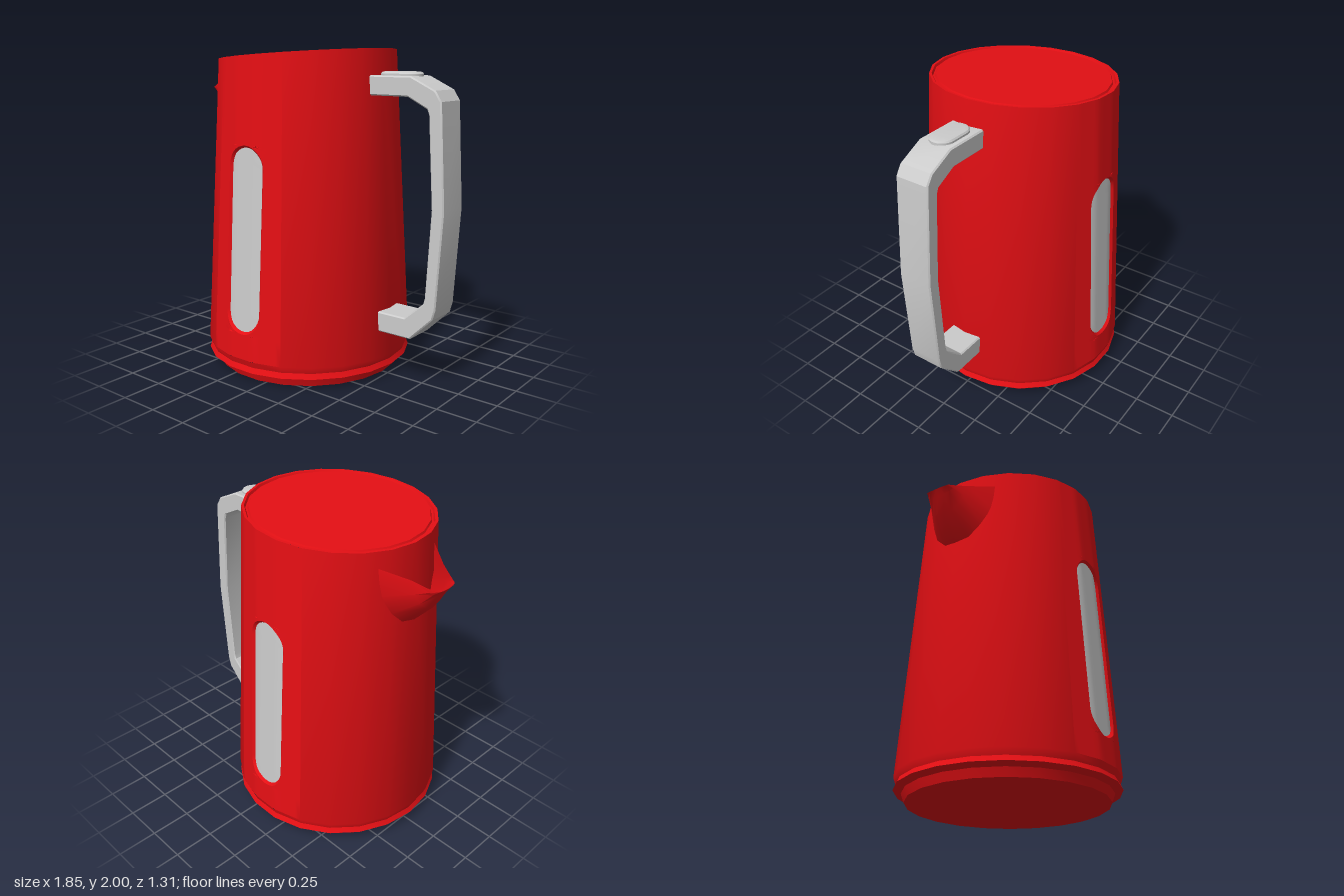
import * as THREE from 'three';
import { mergeGeometries, toCreasedNormals } from 'three/addons/utils/BufferGeometryUtils.js';

const CX = -0.1375, SIDES = 22, STEP = (Math.PI * 2) / SIDES;
const V = (x, y, z) => new THREE.Vector3(x, y, z);
const red = new THREE.MeshStandardMaterial({ color: 0xe50f14 });
const redThin = new THREE.MeshStandardMaterial({ color: 0xe50f14, side: THREE.DoubleSide });
const grey = new THREE.MeshStandardMaterial({ color: 0xcccccc });

// Tapered wall: radius by height, and a point on its faceted surface
const wallRadius = (y) => 0.6625 - 0.0577 * (y - 0.14);
const tiltAt = (x) => 1.9625 + 0.0676 * x;
const topY = (a) => tiltAt(0.555 * Math.cos(a));
function wallPoint(a, y, inset = 0) {
  const d = (((a % STEP) + STEP) % STEP) - STEP / 2;
  const r = (wallRadius(y) * Math.cos(STEP / 2)) / Math.cos(d) - inset;
  return V(CX + r * Math.cos(a), y, r * Math.sin(a));
}

// Surface through rows of points
function sheet(rows) {
  const n = rows[0].length, index = [];
  for (let r = 0; r < rows.length - 1; r++) {
    for (let c = 0; c < n - 1; c++) {
      const a = r * n + c, d = a + n;
      index.push(a, d, d + 1, a, d + 1, a + 1);
    }
  }
  return new THREE.BufferGeometry().setFromPoints(rows.flat()).setIndex(index);
}
const span = (from, to, n, fn) =>
  Array.from({ length: n + 1 }, (_, i) => fn(from + ((to - from) * i) / n));

function mesh(name, geometry, material, crease = 0.5) {
  const m = new THREE.Mesh(toCreasedNormals(geometry, crease), material);
  m.name = name;
  return m;
}

// Rows of a capsule outline: height and half width
function capsuleRows(w, bottom, top) {
  const low = span(0, Math.PI / 2, 8, (t) => ({ y: bottom + w * (1 - Math.cos(t)), w: w * Math.sin(t) }));
  const high = span(Math.PI / 2, 0, 8, (t) => ({ y: top - w * (1 - Math.cos(t)), w: w * Math.sin(t) }));
  return [...low, ...high];
}
const halfAngle = (row) => Math.asin(row.w / wallRadius(row.y));

function createBody() {
  const red3 = [], panels = [];
  const outer = capsuleRows(0.137, 0.295, 1.44);
  const inner = capsuleRows(0.124, 0.308, 1.427);
  const inset = 0.016;

  for (const half of [0, 1]) {
    const turn = half * Math.PI, mid = Math.PI / 2 + turn;
    const a0 = 4 * STEP + turn, a1 = 7 * STEP + turn;
    // plain wall between the two windows
    const plain = (v) => span(a1, a1 + 8 * STEP, 8, (a) => wallPoint(a, v ? topY(a) : 0.14));
    red3.push(sheet([plain(0), plain(1)]));
    // wall on both sides of the window opening
    const rows = [{ y: 0.14, w: 0 }, ...outer, { w: 0, y: null }];
    const at = (row) => (a) => wallPoint(a, row.y ?? topY(a));
    const open = (row) => (row.w ? halfAngle(row) : 0);
    red3.push(sheet(rows.map((r) => span(a0, mid - open(r), 8, at(r)))));
    red3.push(sheet(rows.map((r) => span(mid + open(r), a1, 8, at(r)))));
    // bevelled edge of the opening
    for (const s of [-1, 1]) {
      red3.push(sheet(outer.map((o, i) => {
        const pair = [
          wallPoint(mid + s * halfAngle(o), o.y),
          wallPoint(mid + s * halfAngle(inner[i]), inner[i].y, inset),
        ];
        return s < 0 ? pair : pair.reverse();
      })));
    }
    // recessed window panel
    panels.push(sheet(inner.map((r) =>
      span(mid - halfAngle(r), mid + halfAngle(r), 8, (a) => wallPoint(a, r.y, inset)))));
  }

  // foot with a groove above it
  const ring = (r, yAt) => span(0, Math.PI * 2, SIDES, (a) => {
    const x = r * Math.cos(a);
    return V(CX + x, yAt(x), r * Math.sin(a));
  });
  const foot = [[0, 0], [0.597, 0], [0.615, 0.05], [0.6625, 0.068], [0.648, 0.1], [0.6625, 0.14]];
  red3.push(sheet(foot.map(([r, y]) => ring(r, () => y))));

  // tilted rim and lid, divided by a shallow groove
  const lid = [[0.541, 0], [0.534, -0.014], [0.523, -0.014], [0.517, -0.002], [0, -0.002]];
  const rim = span(0, Math.PI * 2, SIDES, (a) => wallPoint(a, topY(a)));
  const lidRows = lid.map(([r, dy]) => ring(r, (x) => tiltAt(x) + dy));

  return [
    mesh('body', mergeGeometries(red3), red),
    mesh('lid', sheet([rim, ...lidRows]), red),
    mesh('windows', mergeGeometries(panels), grey),
  ];
}

// Open pouring lip: U-shaped sections running out to the tip
function createSpout() {
  const sections = [
    { rim: [-0.64, 1.835, 0.235], keel: [-0.705, 1.45] },
    { rim: [-0.79, 1.785, 0.135], keel: [-0.845, 1.595] },
    { rim: [-0.865, 1.757, 0.1], keel: [-0.9, 1.695] },
    { rim: [-0.91, 1.742, 0.08], keel: [-0.925, 1.733] },
  ];
  const rows = sections.map(({ rim, keel }) => span(-1, 1, 8, (t) => {
    const k = Math.pow(Math.cos((t * Math.PI) / 2), 0.9) || 0;
    return V(
      THREE.MathUtils.lerp(rim[0], keel[0], k),
      THREE.MathUtils.lerp(rim[1], keel[1], k),
      rim[2] * Math.sin((t * Math.PI) / 2),
    );
  }));
  return mesh('spout', sheet(rows), redThin);
}

// Angular handle extruded from its side outline
function createHandle() {
  const outline = [
    [0.4, 1.845], [0.69, 1.845], [0.85, 1.77], [0.89, 1.71], [0.925, 1.1], [0.888, 0.52], [0.87, 0.455],
    [0.72, 0.305], [0.48, 0.305], [0.48, 0.43], [0.68, 0.43], [0.805, 0.54], [0.815, 0.575],
    [0.845, 1.1], [0.812, 1.635], [0.8, 1.665], [0.67, 1.73], [0.4, 1.73],
  ].map(([x, y]) => new THREE.Vector2(x, y));
  const g = new THREE.ExtrudeGeometry(new THREE.Shape(outline), {
    depth: 0.2, bevelThickness: 0.008, bevelSize: 0.008, bevelOffset: -0.008, bevelSegments: 1,
  });
  g.translate(0, 0, -0.1);
  return mesh('handle', g, grey, 0.45);
}

// Rounded push button on top of the handle
function createButton() {
  const r = 0.07, x0 = 0.51, x1 = 0.625;
  const s = new THREE.Shape();
  s.absarc(x1, 0, r, -Math.PI / 2, Math.PI / 2);
  s.absarc(x0, 0, r, Math.PI / 2, Math.PI * 1.5);
  const g = new THREE.ExtrudeGeometry(s, {
    depth: 0.03, bevelThickness: 0.012, bevelSize: 0.025, bevelOffset: -0.02, bevelSegments: 2, curveSegments: 10,
  });
  g.rotateX(-Math.PI / 2).translate(0, 1.826, 0);
  return mesh('button', g, grey);
}

export function createModel() {
  const group = new THREE.Group();
  group.name = 'kettle';
  group.add(...createBody(), createSpout(), createHandle(), createButton());
  return group;
}
